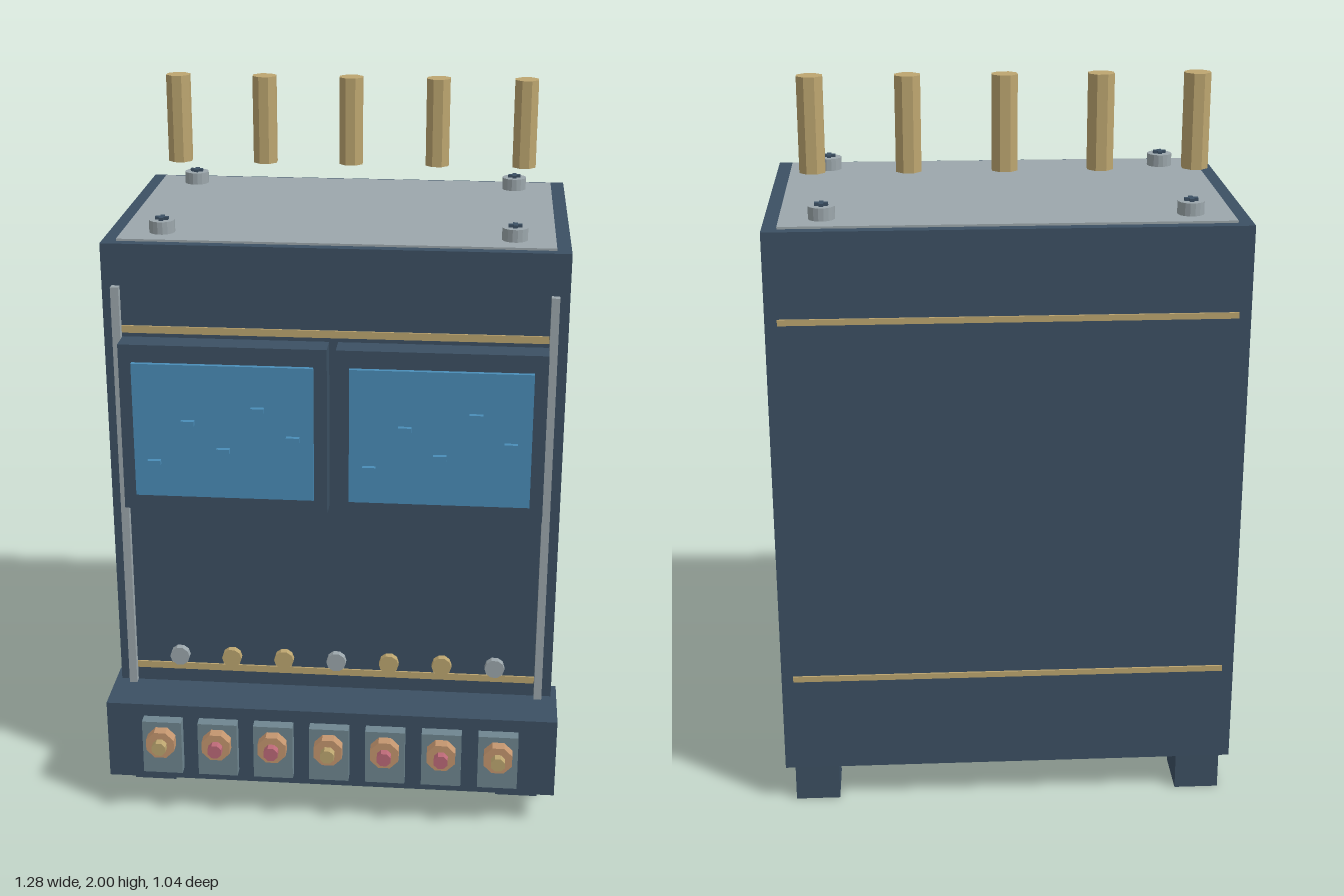
import * as THREE from 'three';

const paint = (name, color) => {
  const m = new THREE.MeshStandardMaterial({ color });
  m.name = name;
  return m;
};

export function createModel() {
  const navy = paint('navy casing', 0x3c5063);
  const blue = paint('screen blue', 0x4a8db8);
  const silver = paint('silver', 0x9ca7ac);
  const gold = paint('gold', 0xbda670);
  const copper = paint('copper', 0xc4966f);
  const rose = paint('rose', 0xbd6a78);
  const steel = paint('blue steel', 0x6f8690);

  const model = new THREE.Group();
  model.name = 'controlCabinet';

  // Box given by its min and max along each axis
  const box = (name, mat, [x0, x1], [y0, y1], [z0, z1], parent = model) => {
    const mesh = new THREE.Mesh(new THREE.BoxGeometry(x1 - x0, y1 - y0, z1 - z0), mat);
    mesh.position.set((x0 + x1) / 2, (y0 + y1) / 2, (z0 + z1) / 2);
    mesh.name = name;
    parent.add(mesh);
    return mesh;
  };

  // Faceted prism with a flat facing the front, standing up or pointing along z
  const prism = (name, mat, r, len, sides, [x, y, z], alongZ = false, parent = model) => {
    const g = new THREE.CylinderGeometry(r, r, len, sides).toNonIndexed();
    g.rotateY(Math.PI / sides);
    if (alongZ) g.rotateX(Math.PI / 2);
    g.computeVertexNormals();
    const mesh = new THREE.Mesh(g, mat);
    mesh.position.set(x, y, z);
    mesh.name = name;
    parent.add(mesh);
    return mesh;
  };

  // Casing, lid plate and front base block
  box('casing', navy, [-0.624, 0.624], [0.11, 1.65], [-0.52, 0.285]);
  box('lidPlate', silver, [-0.585, 0.585], [1.645, 1.656], [-0.49, 0.257]);
  box('terminalBase', navy, [-0.64, 0.64], [0.1, 0.338], [0.225, 0.43]);

  // Feet, front rails and lid screws, mirrored left and right
  for (const s of [-1, 1]) {
    for (const z of [0.212, -0.434]) {
      box('foot', navy, [s * 0.537 - 0.061, s * 0.537 + 0.061], [0, 0.112], [z - 0.072, z + 0.072]);
    }
    box('frontRail', silver, [s * 0.586 - 0.011, s * 0.586 + 0.011], [0.33, 1.535], [0.28, 0.307]);
    for (const z of [-0.407, 0.173]) {
      const screw = new THREE.Group();
      screw.name = 'lidScrew';
      screw.position.set(s * 0.475, 1.656, z);
      prism('screwHead', silver, 0.035, 0.034, 16, [0, 0.017, 0], false, screw);
      box('crossSlot', navy, [-0.018, 0.018], [0.034, 0.042], [-0.006, 0.006], screw);
      box('crossSlot', navy, [-0.006, 0.006], [0.034, 0.042], [-0.018, 0.018], screw);
      model.add(screw);
    }
  }

  // Gold trim strips on front and back
  for (const y of [0.39, 1.414]) {
    box('frontTrim', gold, [-0.574, 0.574], [y - 0.01, y + 0.01], [0.28, 0.29]);
    box('backTrim', gold, [-0.592, 0.592], [y - 0.008, y + 0.008], [-0.525, -0.515]);
  }

  // Two framed screens with small raised markers
  const markers = [1.063, 1.18, 1.102, 1.222, 1.141];
  for (const cx of [-0.293, 0.293]) {
    box('screenFrame', navy, [cx - 0.281, cx + 0.281], [0.916, 1.392], [0.28, 0.355]);
    box('screen', blue, [cx - 0.245, cx + 0.245], [0.962, 1.343], [0.35, 0.368]);
    markers.forEach((y, i) => {
      const x = cx + (i - 2) * 0.095;
      box('screenMarker', blue, [x - 0.018, x + 0.018], [y - 0.007, y + 0.007], [0.365, 0.382]);
    });
  }

  // Row of indicator studs and row of terminals
  for (let i = 0; i < 7; i++) {
    const main = i % 3 === 0;
    prism('indicatorStud', main ? silver : gold, 0.028, 0.02, 10, [-0.44 + i * 0.15, 0.447, 0.328], true);

    const terminal = new THREE.Group();
    terminal.name = 'terminal';
    terminal.position.set((i - 3) * 0.159, 0.245, 0.43);
    box('terminalPlate', steel, [-0.056, 0.056], [-0.108, 0.056], [-0.005, 0.033], terminal);
    prism('terminalNut', copper, 0.043, 0.034, 8, [0, 0, 0.048], true, terminal);
    prism('terminalPin', main ? gold : rose, 0.021, 0.024, 8, [0, 0, 0.076], true, terminal);
    model.add(terminal);
  }

  // Floating row of rods above the lid
  for (let i = -2; i <= 2; i++) {
    prism('topRod', gold, 0.036, 0.25, 8, [i * 0.25, 1.875, -0.286]);
  }

  return model;
}
